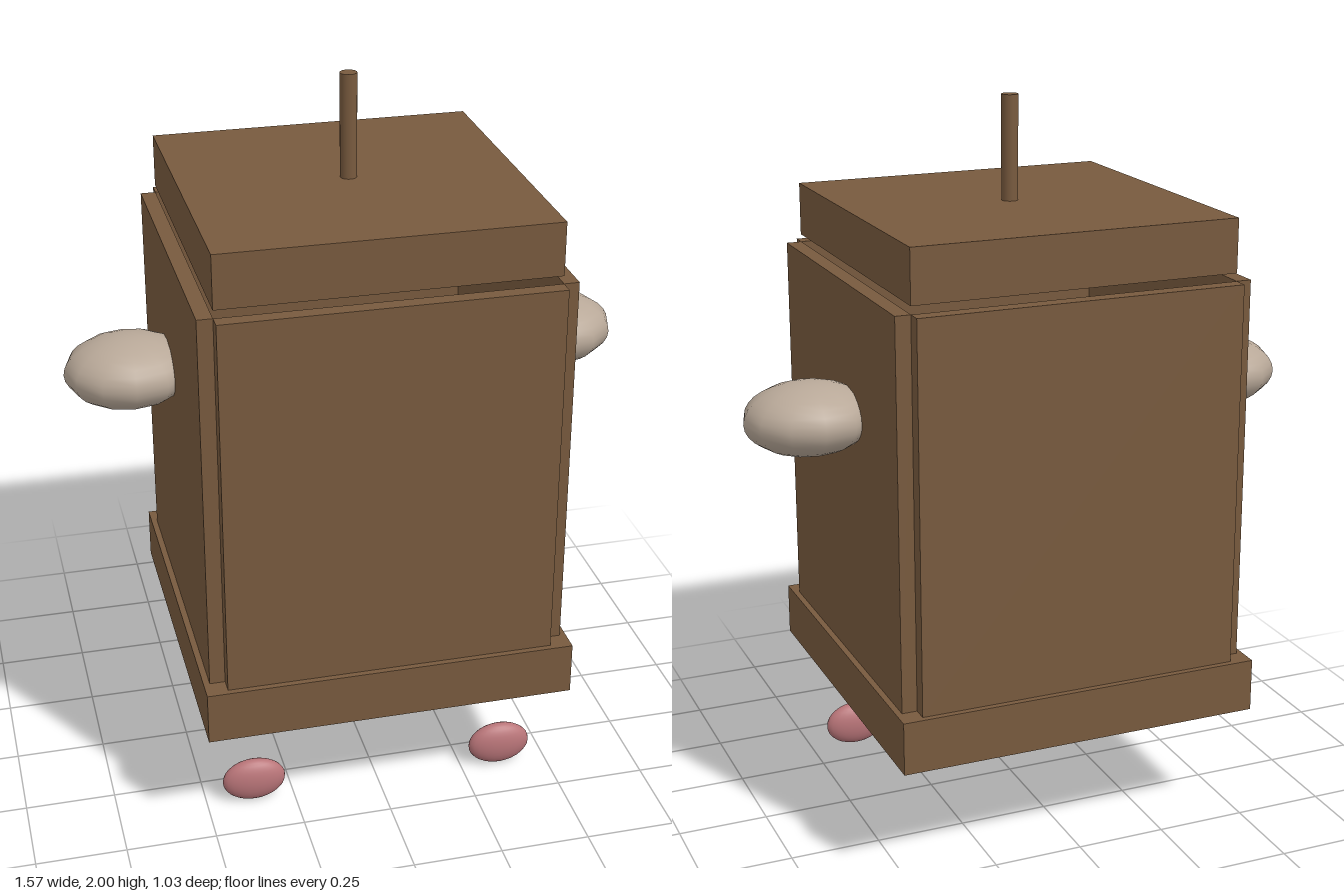
import * as THREE from 'three';

export function createModel() {
  const model = new THREE.Group();
  const wood = new THREE.MeshStandardMaterial({ color: 0x785a3e });
  const stone = new THREE.MeshStandardMaterial({ color: 0xb8a898 });
  const pink = new THREE.MeshStandardMaterial({ color: 0xb87478 });

  const add = (name, geometry, material, x, y, z) => {
    const mesh = new THREE.Mesh(geometry, material);
    mesh.name = name;
    mesh.position.set(x, y, z);
    model.add(mesh);
    return mesh;
  };

  // Plinth, floating lid and thin post
  add('base', new THREE.BoxGeometry(1.026, 0.148, 1.026), wood, 0, 0.403, 0);
  add('lid', new THREE.BoxGeometry(0.908, 0.147, 0.908), wood, 0, 1.641, 0);
  add('post', new THREE.CylinderGeometry(0.023, 0.023, 0.286, 24), wood, 0, 1.857, 0);

  // Four wall panels meeting at notched corners
  const wall = new THREE.BoxGeometry(0.908, 1.069, 0.042);
  ['frontWall', 'leftWall', 'backWall', 'rightWall'].forEach((name, i) => {
    const a = (i * Math.PI) / 2;
    add(name, wall, wood, Math.sin(a) * 0.475, 1.0115, Math.cos(a) * 0.475).rotation.y = a;
  });

  // Flattened hands sunk into the side walls, and small feet in front
  const hand = new THREE.SphereGeometry(1, 12, 16).scale(0.178, 0.098, 0.159);
  const foot = new THREE.SphereGeometry(1, 24, 16).scale(0.09, 0.065, 0.035);
  for (const [side, s] of [['left', 1], ['right', -1]]) {
    add(side + 'Hand', hand, stone, s * 0.605, 1.188, -0.062);
    add(side + 'Foot', foot, pink, s * 0.363, 0.065, 0.353);
  }
  return model;
}
